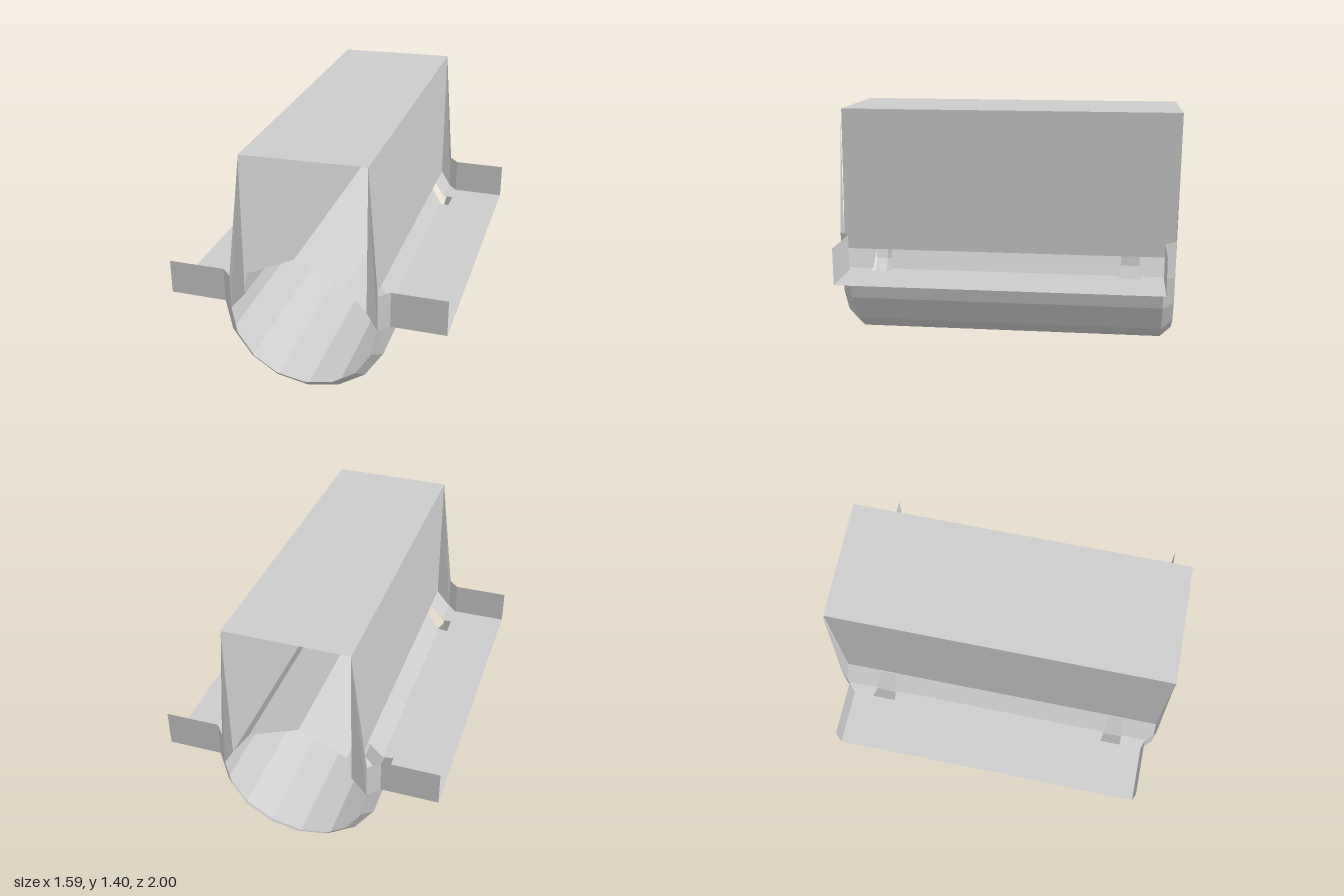
import * as THREE from 'three';

const material = new THREE.MeshStandardMaterial({ color: 0xcccccc, flatShading: true, side: THREE.DoubleSide });

// Flat-shaded sheet through successive rows of [x, y, z] points
function sheet(name, rows) {
  const pos = [];
  for (let i = 0; i < rows.length - 1; i++) {
    for (let j = 0; j < rows[i].length - 1; j++) {
      const a = rows[i][j], b = rows[i][j + 1], c = rows[i + 1][j + 1], d = rows[i + 1][j];
      pos.push(...a, ...b, ...c, ...a, ...c, ...d);
    }
  }
  const geo = new THREE.BufferGeometry();
  geo.setAttribute('position', new THREE.Float32BufferAttribute(pos, 3));
  geo.computeVertexNormals();
  const mesh = new THREE.Mesh(geo, material);
  mesh.name = name;
  return mesh;
}

const at = (profile, z) => profile.map(([x, y]) => [x, y, z]);

export function createModel() {
  const model = new THREE.Group();
  model.name = 'foldedCover';

  // Round trough whose two ends bevel inwards
  const outer = [[-0.47, 0.48], [-0.435, 0.3], [-0.325, 0.14], [-0.175, 0.04], [0.005, 0.005],
    [0.185, 0.04], [0.34, 0.14], [0.445, 0.3], [0.48, 0.48]];
  const inner = [[-0.41, 0.48], [-0.38, 0.32], [-0.29, 0.185], [-0.155, 0.095], [0.005, 0.065],
    [0.165, 0.095], [0.305, 0.185], [0.39, 0.32], [0.425, 0.48]];
  model.add(sheet('trough', [at(inner, -0.985), at(outer, -0.92), at(outer, 0.9), at(inner, 0.96)]));

  // Tall box: two upright walls and a flat top
  model.add(sheet('boxShell', [
    [[-0.325, 0.58, -0.985], [-0.325, 1.4, -0.99], [0.365, 1.41, -1], [0.365, 0.58, -0.99]],
    [[-0.325, 0.58, 0.96], [-0.325, 1.4, 0.955], [0.365, 1.41, 0.945], [0.365, 0.58, 0.955]],
  ]));

  // Inner vault running the full length under the box
  const vault = [[-0.325, 0.58], [-0.3, 0.72], [-0.03, 0.845], [0.26, 0.73], [0.365, 0.58]];
  const frontZ = [0.96, 0.975, 0.97, 1, 0.955];
  model.add(sheet('innerVault', [at(vault, -0.985), vault.map(([x, y], i) => [x, y, frontZ[i]])]));

  // Each panel between the slots: z limits at slant top, slant foot and flange strip
  const panels = [
    [[-0.985, -0.78], [-0.985, -0.785], [-0.92, -0.8]],
    [[-0.68, 0.67], [-0.67, 0.66], [-0.66, 0.65]],
    [[0.76, 0.955], [0.77, 0.96], [0.77, 0.9]],
  ];

  const sides = [
    { name: 'left', wall: 0.365, foot: 0.425, rim: 0.48, edge: 0.79, tabTop: 0.69, top: 1.41 },
    { name: 'right', wall: -0.325, foot: -0.41, rim: -0.47, edge: -0.795, tabTop: 0.68, top: 1.4 },
  ];
  for (const s of sides) {
    const side = new THREE.Group();
    side.name = s.name + 'Side';

    // Slanted foot of the wall and inner flange strip, with two slots
    for (const [a, b, c] of panels) {
      side.add(sheet('slottedFoot', [
        a.map(z => [s.wall, 0.58, z]),
        b.map(z => [s.foot, 0.48, z]),
        c.map(z => [s.rim, 0.48, z]),
      ]));
    }

    // Horizontal flange
    side.add(sheet('flange', [-0.92, 0.9].map(z => [[s.rim, 0.48, z], [s.edge, 0.48, z]])));

    // Upright end tab, its bevel and the tapering web up to the box corner
    for (const [zTab, zFoot, zTop] of [[0.9, 0.96, 0.95], [-0.92, -0.985, -0.995]]) {
      side.add(sheet('endTab', [
        [[s.edge, 0.48, zTab], [s.rim, 0.48, zTab], [s.foot, 0.48, zFoot], [s.wall, 0.58, zFoot]],
        [[s.edge, s.tabTop, zTab], [s.rim, s.tabTop, zTab], [s.foot, s.tabTop, zFoot], [s.wall, s.top, zTop]],
      ]));
    }
    model.add(side);
  }
  return model;
}
